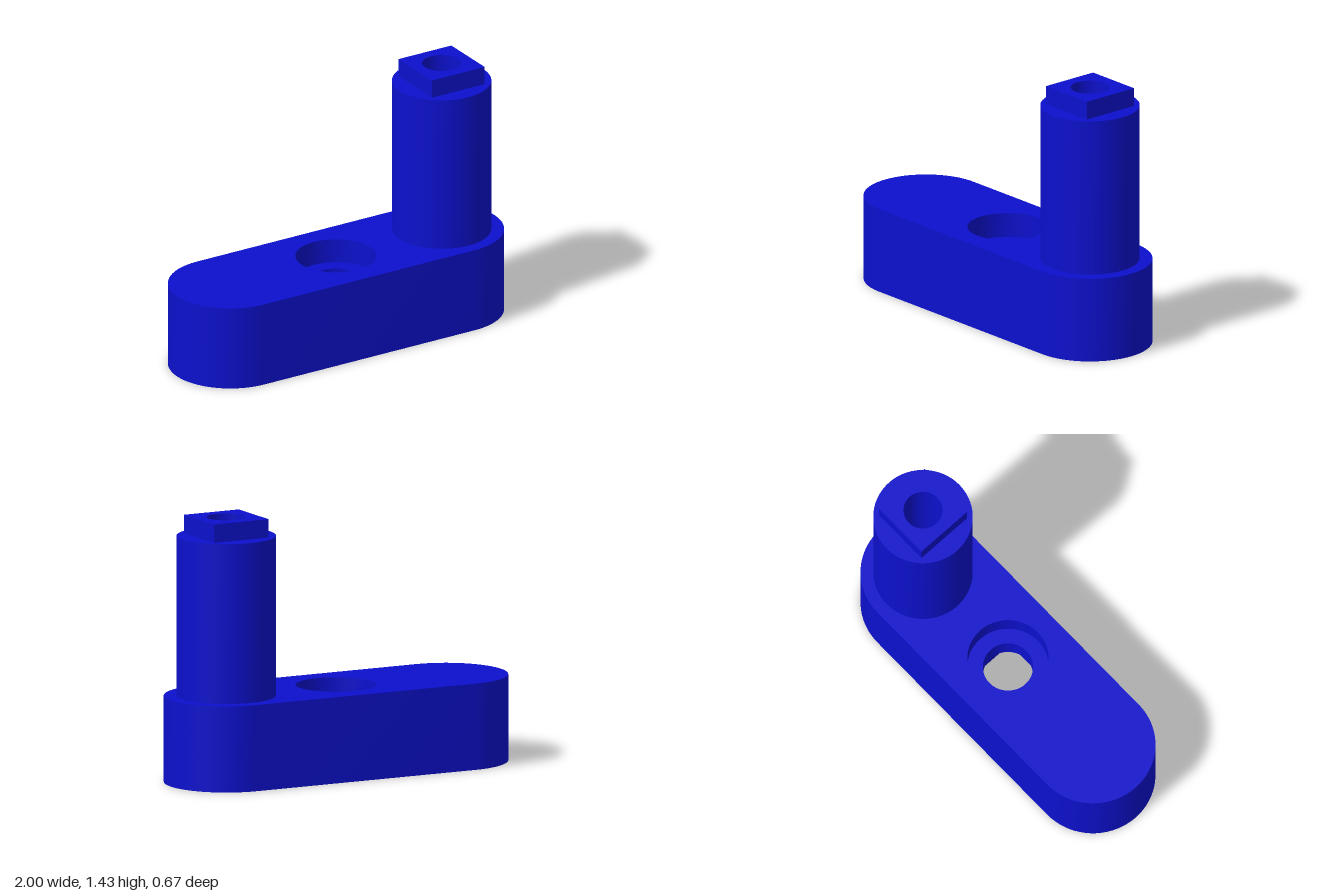
import * as THREE from 'three';
import { mergeGeometries, toCreasedNormals } from 'three/addons/utils/BufferGeometryUtils.js';

// Plan outlines, counter-clockwise, closed implicitly
const arc = (cx, r, a0, a1, n) => Array.from({ length: n + 1 }, (_, i) => {
  const a = a0 + (a1 - a0) * i / n;
  return new THREE.Vector2(cx + r * Math.cos(a), r * Math.sin(a));
});
const circle = (cx, r, n = 72) => arc(cx, r, 0, Math.PI * 2, n).slice(0, n);
const square = (cx, s) => [[1, -1], [1, 1], [-1, 1], [-1, -1]]
  .map(([x, y]) => new THREE.Vector2(cx + x * s / 2, y * s / 2));

// Flat horizontal face with holes, facing up (dir = 1) or down (dir = -1)
function face(outline, holes, y, dir) {
  const shape = new THREE.Shape(outline);
  shape.holes = holes.map((h) => new THREE.Path(h));
  const g = new THREE.ShapeGeometry(shape).toNonIndexed();
  g.deleteAttribute('uv');
  return g.rotateX(-dir * Math.PI / 2).translate(0, y, 0);
}

// Vertical wall along an outline, facing outward or, for holes, inward
function wall(outline, y0, y1, inward = false) {
  const pts = inward ? [...outline].reverse() : outline;
  const pos = [];
  pts.forEach((a, i) => {
    const b = pts[(i + 1) % pts.length];
    pos.push(a.x, y0, -a.y, b.x, y0, -b.y, b.x, y1, -b.y);
    pos.push(a.x, y0, -a.y, b.x, y1, -b.y, a.x, y1, -a.y);
  });
  const g = new THREE.BufferGeometry();
  g.setAttribute('position', new THREE.Float32BufferAttribute(pos, 3));
  g.computeVertexNormals();
  return g;
}

export function createModel() {
  const group = new THREE.Group();
  const material = new THREE.MeshStandardMaterial({ color: 0x0c10cc });
  const add = (name, ...parts) => {
    const mesh = new THREE.Mesh(toCreasedNormals(mergeGeometries(parts), 0.5), material);
    mesh.name = name;
    group.add(mesh);
  };

  const R = 1 / 3, px = 2 / 3;                       // arm end radius, post position
  const armTop = 0.467, postTop = 1.333, pegTop = 1.433;
  const recessTop = 0.2, boreFloor = 0.333;

  const armOutline = [
    ...arc(px, R, -Math.PI / 2, Math.PI / 2, 36),
    ...arc(-px, R, Math.PI / 2, Math.PI * 1.5, 36),
  ];
  const postOutline = circle(px, 0.265);
  const pegOutline = square(px, 0.333);
  const postHole = circle(px, 0.104);
  const counterbore = circle(0, 0.217);
  const pivotHole = circle(0, 0.134);
  const socket = square(0, 0.353);

  // Rounded arm
  add('arm',
    wall(armOutline, 0, armTop),
    face(armOutline, [counterbore, postOutline], armTop, 1),
    face(armOutline, [socket, postHole], 0, -1));

  // Stepped hole: round counterbore above, square socket below
  add('counterbore',
    wall(counterbore, boreFloor, armTop, true),
    face(counterbore, [pivotHole], boreFloor, 1));
  add('pivotHole', wall(pivotHole, recessTop, boreFloor, true));
  add('squareSocket',
    wall(socket, 0, recessTop, true),
    face(socket, [pivotHole], recessTop, -1));

  // Post with square peg, drilled right through
  add('post',
    wall(postOutline, armTop, postTop),
    face(postOutline, [pegOutline], postTop, 1));
  add('squarePeg',
    wall(pegOutline, postTop, pegTop),
    face(pegOutline, [postHole], pegTop, 1));
  add('postHole', wall(postHole, 0, pegTop, true));

  return group;
}
